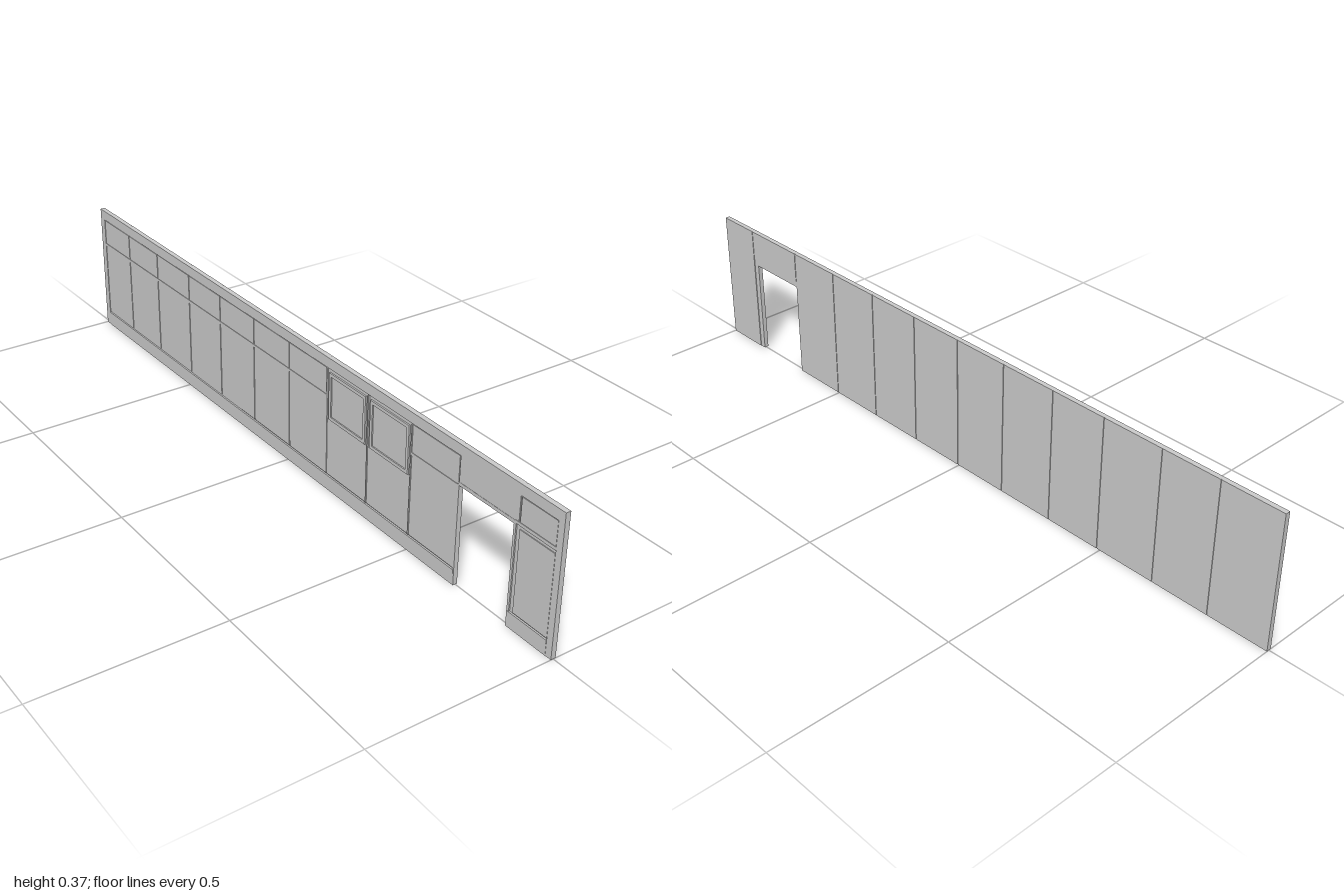
import * as THREE from 'three';

const HEIGHT = 0.373;
const DOOR = { z0: 0.672, z1: 0.857, top: 0.272 };
// Seams between wall panels, along the length
const SEAMS = [-1, -0.83, -0.665, -0.49, -0.327, -0.16, 0.005, 0.17, 0.337, 0.503, 0.672, 0.87, 1];

const material = new THREE.MeshStandardMaterial({ color: 0xcccccc, side: THREE.DoubleSide });

export function createModel() {
  const wall = new THREE.Group();
  wall.name = 'wallSection';

  // Box given by its limits in x, y and z
  function block(name, x0, x1, y0, y1, z0, z1) {
    const geometry = new THREE.BoxGeometry(x1 - x0, y1 - y0, z1 - z0);
    const mesh = new THREE.Mesh(geometry, material);
    mesh.position.set((x0 + x1) / 2, (y0 + y1) / 2, (z0 + z1) / 2);
    mesh.name = name;
    wall.add(mesh);
    return mesh;
  }

  // Rectangular trim around an opening, on the inner (-x) side
  function trim(name, x0, x1, y0, y1, z0, z1, w) {
    block(name + 'Bottom', x0, x1, y0, y0 + w, z0, z1);
    block(name + 'Top', x0, x1, y1 - w, y1, z0, z1);
    block(name + 'SideA', x0, x1, y0 + w, y1 - w, z0, z0 + w);
    block(name + 'SideB', x0, x1, y0 + w, y1 - w, z1 - w, z1);
  }

  // Core slab with the doorway notched out of its lower edge
  const outline = new THREE.Shape();
  [[-1, 0], [-1, HEIGHT], [1, HEIGHT], [1, 0], [DOOR.z1, 0], [DOOR.z1, DOOR.top],
    [DOOR.z0, DOOR.top], [DOOR.z0, 0]].forEach(([z, y], i) =>
    i ? outline.lineTo(-z, y) : outline.moveTo(-z, y));
  const slab = new THREE.ExtrudeGeometry(outline, { depth: 0.009, bevelEnabled: false });
  slab.rotateY(Math.PI / 2).translate(-0.004, 0, 0);
  const core = new THREE.Mesh(slab, material);
  core.name = 'core';
  wall.add(core);

  // Smooth outer cladding, one sheet per bay with a hairline joint
  for (let i = 0; i < SEAMS.length - 1; i++) {
    const a = SEAMS[i] + (i ? 0.001 : 0);
    const b = SEAMS[i + 1] - (i < SEAMS.length - 2 ? 0.001 : 0);
    const overDoor = SEAMS[i] === DOOR.z0;
    block(overDoor ? 'doorHeadCladding' : 'outerPanel', 0.005, 0.0068, overDoor ? 0.287 : 0, HEIGHT, a, b);
  }

  // Outer perimeter frame on the inner side
  block('topRail', -0.0068, -0.004, 0.345, HEIGHT, -1, 1);
  block('endPost', -0.0068, -0.004, 0, 0.345, -1, -0.978);
  block('endPost', -0.0068, -0.004, 0, 0.345, 0.982, 1);

  // Inner panels: lower wall sheets, upper band and skirting
  for (let i = 0; i < SEAMS.length - 1; i++) {
    const a = Math.max(SEAMS[i], -0.978) + 0.0015;
    const b = Math.min(SEAMS[i + 1], 0.982) - 0.0015;
    const overDoor = SEAMS[i] === DOOR.z0;
    const hasWindow = SEAMS[i] === 0.17 || SEAMS[i] === 0.337;

    if (overDoor) {
      block('doorHeadPanel', -0.0068, -0.004, DOOR.top, 0.345, a, b);
    } else if (hasWindow) {
      block('lowerPanel', -0.006, -0.004, 0.045, 0.205, a, b);
      trim('windowFrame', -0.0082, -0.004, 0.205, 0.335, a + 0.008, b - 0.008, 0.009);
      block('windowPane', -0.005, -0.004, 0.214, 0.326, a + 0.017, b - 0.017);
    } else {
      block('lowerPanel', -0.006, -0.004, 0.045, 0.262, a, b);
      block('upperPanel', -0.006, -0.004, 0.27, 0.343, a, b);
    }
  }

  // Rail beneath the upper band
  block('bandRail', -0.0074, -0.004, 0.262, 0.27, -0.978, 0.17);
  block('bandRail', -0.0074, -0.004, 0.262, 0.27, 0.503, DOOR.z0);
  block('bandRail', -0.0074, -0.004, 0.272, 0.28, DOOR.z1, 0.982);

  // Stepped skirting either side of the doorway
  [[-0.978, DOOR.z0], [DOOR.z1, 0.982]].forEach(([a, b]) => {
    block('skirting', -0.0074, -0.004, 0, 0.032, a, b);
    block('skirtingCap', -0.0084, -0.004, 0.032, 0.042, a, b);
  });

  // Slim upright beads over the inner seams around the windows
  [0.17, 0.337, 0.503].forEach((z) =>
    block('seamBead', -0.0078, -0.004, 0.045, 0.343, z - 0.002, z + 0.002));

  // Door lining
  block('doorJamb', -0.0074, 0.005, 0, DOOR.top, DOOR.z1 - 0.003, DOOR.z1 + 0.004);
  block('doorJamb', -0.0074, 0.005, 0, DOOR.top, DOOR.z0 - 0.004, DOOR.z0 + 0.002);
  block('doorLintel', -0.0074, 0.005, DOOR.top - 0.003, DOOR.top + 0.006, DOOR.z0, DOOR.z1);

  return wall;
}
